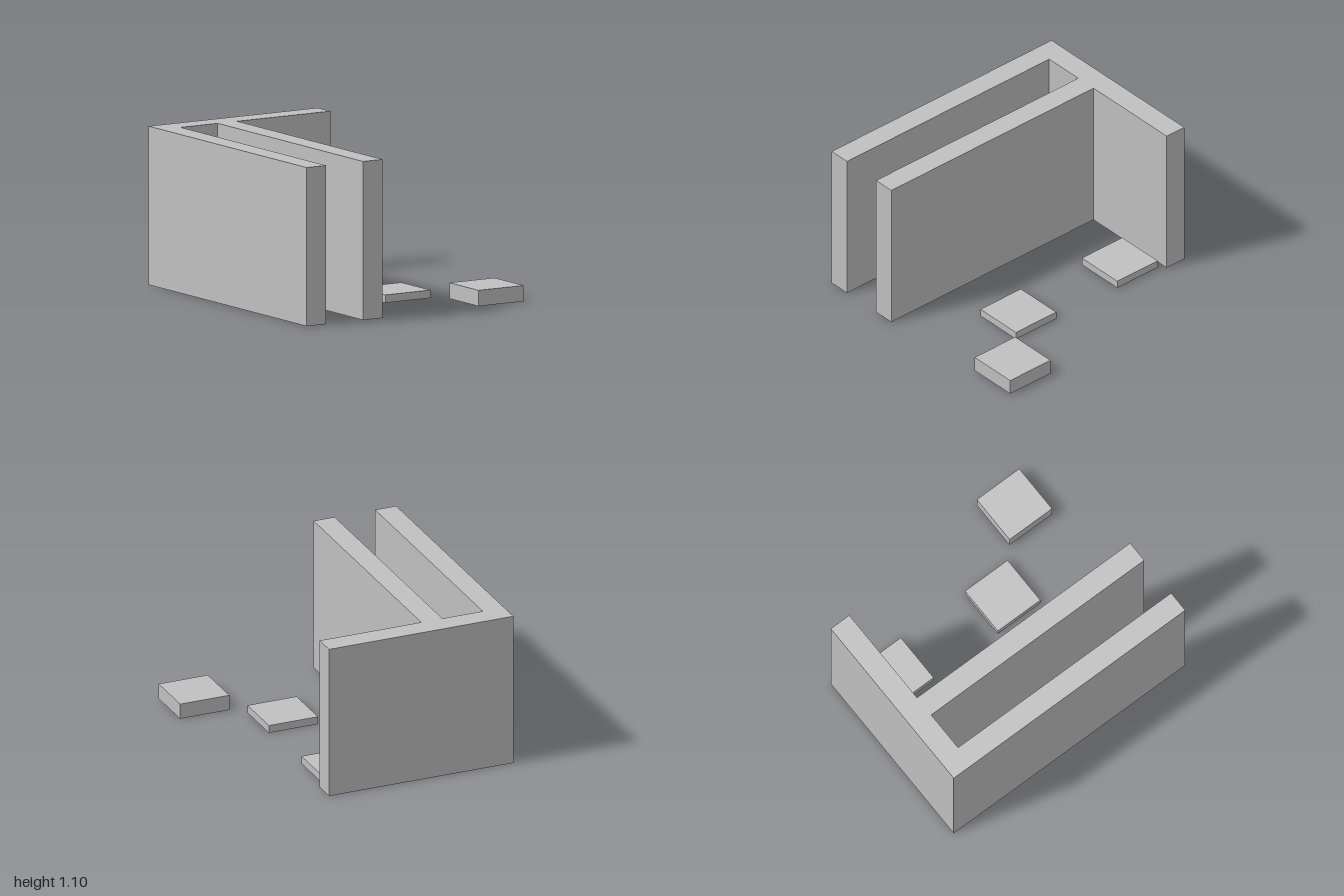
import * as THREE from 'three';

export function createModel() {
  const model = new THREE.Group();
  const grey = new THREE.MeshStandardMaterial({ color: 0xc0c0c0 });
  grey.name = 'light grey';

  // Walls: one F-shaped footprint, given as x and z, raised to full height
  const height = 1.1;
  const footprint = [
    [-0.897, -1], [0.478, -1], [0.478, -0.84], [-0.28, -0.84], [-0.28, 1],
    [-0.438, 1], [-0.438, -0.84], [-0.739, -0.84], [-0.739, 1], [-0.897, 1],
  ].map(([x, z]) => new THREE.Vector2(x, -z));
  const wallGeometry = new THREE.ExtrudeGeometry(new THREE.Shape(footprint), {
    depth: height, bevelEnabled: false,
  });
  wallGeometry.rotateX(-Math.PI / 2);
  const walls = new THREE.Mesh(wallGeometry, grey);
  walls.name = 'walls';
  model.add(walls);

  // Square floor slabs: centre x, centre z, height
  const slabSize = 0.367;
  const slabs = [
    ['rearSlab', 0.251, -0.612, 0.055],
    ['middleSlab', 0.251, 0.31, 0.055],
    ['frontSlab', 0.713, 0.768, 0.11],
  ];
  for (const [name, x, z, h] of slabs) {
    const slab = new THREE.Mesh(new THREE.BoxGeometry(slabSize, h, slabSize), grey);
    slab.position.set(x, h / 2, z);
    slab.name = name;
    model.add(slab);
  }

  return model;
}
